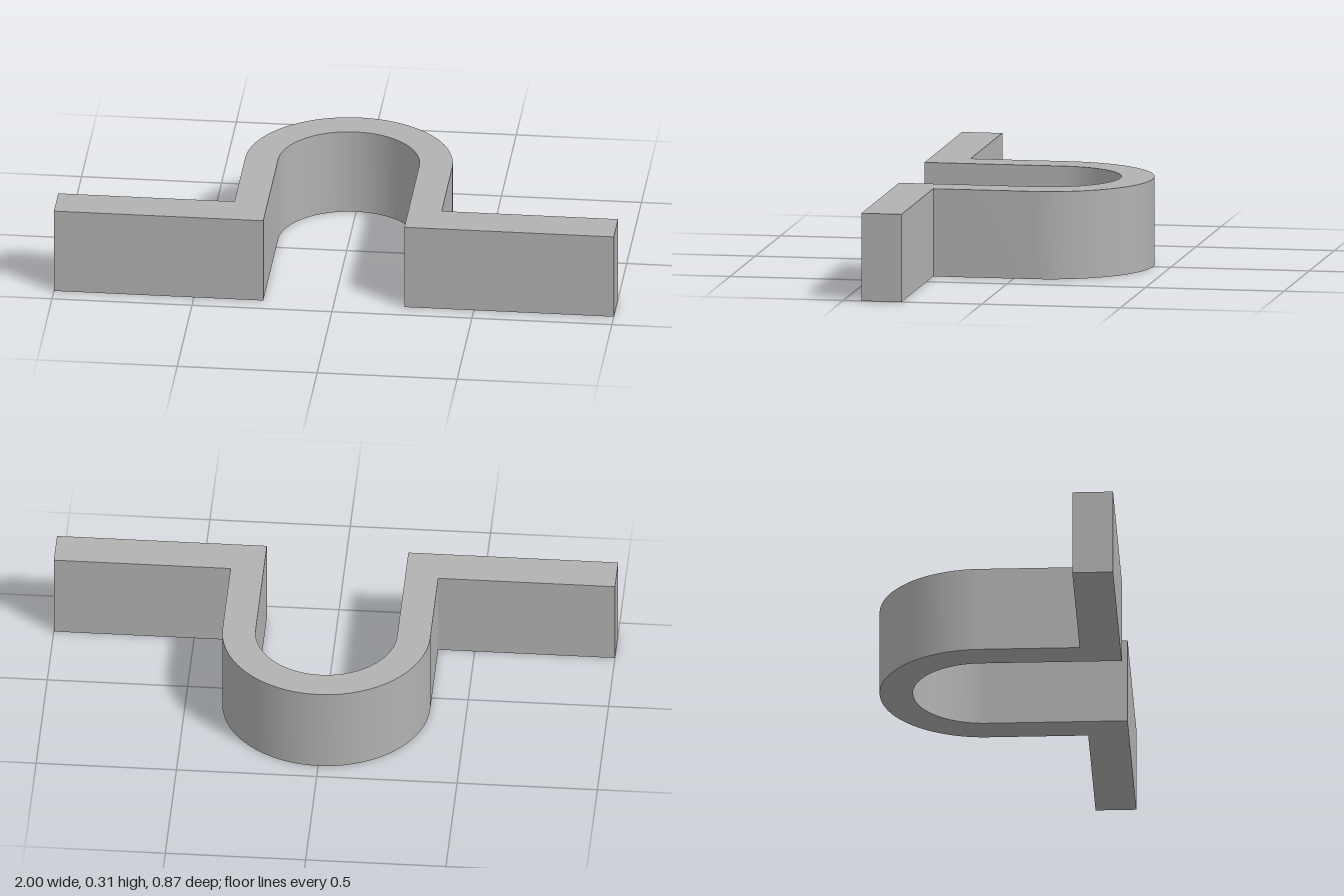
import * as THREE from 'three';
import { toCreasedNormals } from 'three/addons/utils/BufferGeometryUtils.js';

const HEIGHT = 0.315;
const OUTER_R = 0.37, INNER_R = 0.252;
const ARC_Y = 0.066;                       // arc centre, towards the back
const FRONT = -0.435, FLANGE_BACK = -0.29; // flange faces, plan y = -z

export function createModel() {
  const grey = new THREE.MeshStandardMaterial({ color: 0xb2b2b2 });
  grey.name = 'grey';

  // Plan outline of the saddle clamp: two flanges joined by a U-shaped arch
  const plan = new THREE.Shape();
  plan.moveTo(-1, FRONT);
  plan.lineTo(-INNER_R, FRONT);
  plan.lineTo(-INNER_R, ARC_Y);
  plan.absarc(0, ARC_Y, INNER_R, Math.PI, 0, true);
  plan.lineTo(INNER_R, FRONT);
  plan.lineTo(1, FRONT);
  plan.lineTo(1, FLANGE_BACK);
  plan.lineTo(OUTER_R, FLANGE_BACK);
  plan.lineTo(OUTER_R, ARC_Y);
  plan.absarc(0, ARC_Y, OUTER_R, 0, Math.PI, false);
  plan.lineTo(-OUTER_R, FLANGE_BACK);
  plan.lineTo(-1, FLANGE_BACK);
  plan.closePath();

  // Extrude upwards; smooth the arch, keep the corners sharp
  const solid = new THREE.ExtrudeGeometry(plan, { depth: HEIGHT, bevelEnabled: false, curveSegments: 40 });
  solid.rotateX(-Math.PI / 2);
  const clamp = new THREE.Mesh(toCreasedNormals(solid, 0.5), grey);
  clamp.name = 'saddleClamp';

  const model = new THREE.Group();
  model.name = 'pipeClamp';
  model.add(clamp);
  return model;
}
